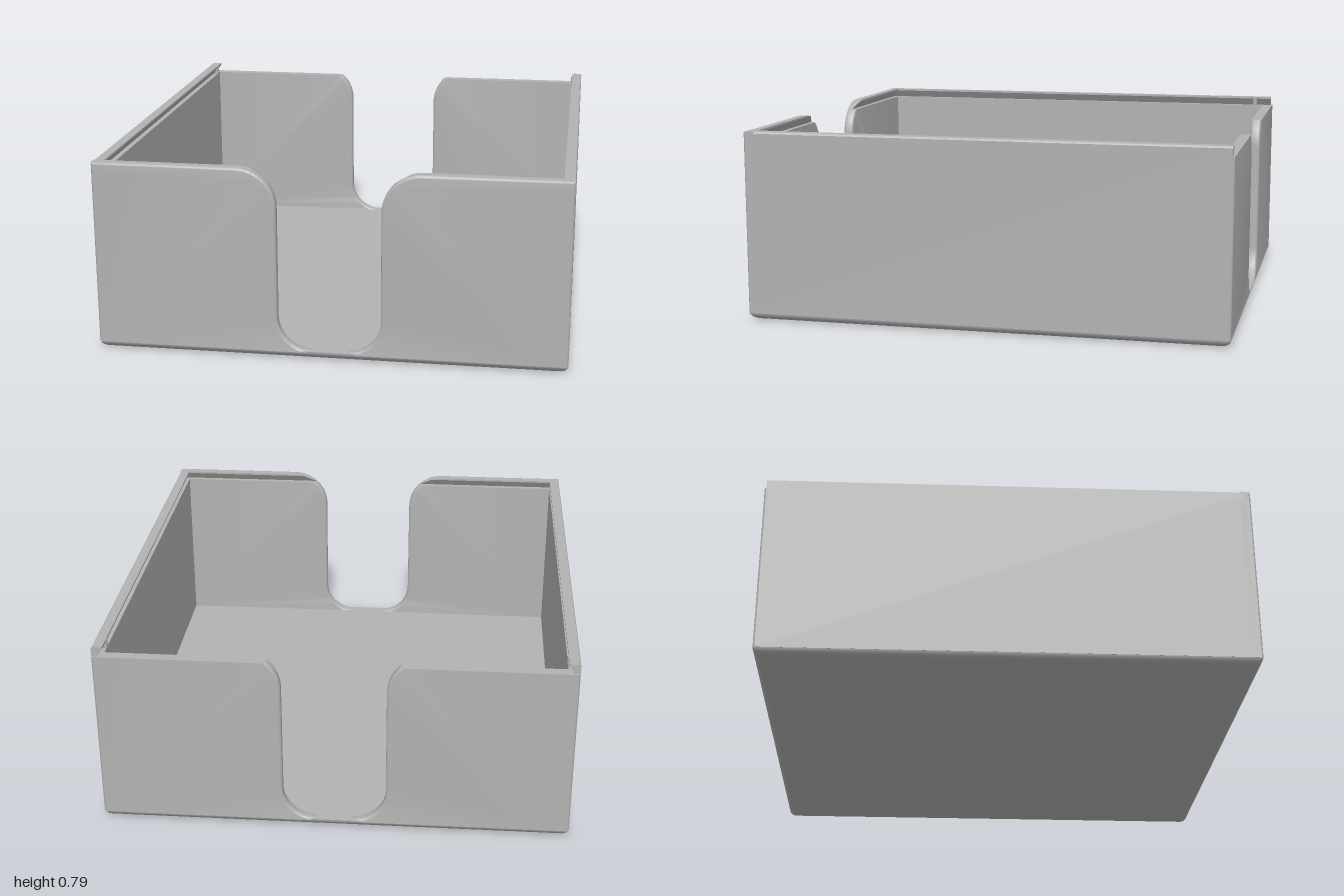
import * as THREE from 'three';
import { toCreasedNormals } from 'three/addons/utils/BufferGeometryUtils.js';

const W = 0.955, D = 1, T = 0.045;             // half width, half depth, wall thickness
const FLOOR = 0.035, LEDGE = 0.75, TOP = 0.79; // heights
const NOTCH = 0.21, R_LOW = 0.14, R_TOP = 0.16; // thumb notch half width and radii
const ROUND = 0.011;                            // rounding of notch rims and corners

// Joins counter-clockwise loops of [x, y] stacked along z; sx and sz mirror the result.
function loft(levels, sx = 1, sz = 1) {
  const pos = [];
  const flip = sx * sz < 0;
  const tri = (a, b, c) => {
    for (const p of flip ? [a, c, b] : [a, b, c]) pos.push(p[0] * sx, p[1], p[2] * sz);
  };
  const loops = levels.map(({ z, pts }) => pts.map(([x, y]) => [x, y, z]));
  const n = loops[0].length;
  for (let k = 0; k < loops.length - 1; k++) {
    const A = loops[k], B = loops[k + 1];
    for (let i = 0; i < n; i++) {
      const j = (i + 1) % n;
      tri(A[i], A[j], B[j]);
      tri(A[i], B[j], B[i]);
    }
  }
  const cap = (loop, up) => {
    const contour = loop.map(p => new THREE.Vector2(p[0], p[1]));
    for (const [a, b, c] of THREE.ShapeUtils.triangulateShape(contour, [])) {
      if (up) tri(loop[a], loop[b], loop[c]);
      else tri(loop[c], loop[b], loop[a]);
    }
  };
  cap(loops[0], false);
  cap(loops[n ? loops.length - 1 : 0], true);
  const g = new THREE.BufferGeometry();
  g.setAttribute('position', new THREE.Float32BufferAttribute(pos, 3));
  return toCreasedNormals(g, 0.6);
}

// Outline of the wall beside the notch, between heights lo and hi, shrunk by d.
function wallOutline(d, lo, hi, outer) {
  const pts = [], N = 14;
  if (lo < 0.1) {
    for (let i = 0; i <= N; i++) {
      const a = -Math.PI / 2 + (i / N) * Math.PI / 2, r = R_LOW + d;
      pts.push([NOTCH - R_LOW + r * Math.cos(a),
        Math.max(0.03, FLOOR + R_LOW + r * Math.sin(a))]);
    }
  }
  const r = R_TOP - d, cy = TOP - R_TOP;
  const angle = y => Math.asin(THREE.MathUtils.clamp((y - cy) / r, 0, 1));
  const a0 = angle(lo), a1 = angle(hi);
  for (let i = 0; i <= N; i++) {
    const a = a0 + (a1 - a0) * i / N;
    pts.push([NOTCH + R_TOP - r * Math.cos(a), cy + r * Math.sin(a)]);
  }
  pts.push([W - outer, hi], [W - outer, lo]);
  return pts.reverse();
}

// Quarter-round steps: [distance from face, inset]
const arc = [0, 1, 2, 3, 4].map(i => {
  const a = (i / 4) * Math.PI / 2;
  return [ROUND * (1 - Math.sin(a)), ROUND * (1 - Math.cos(a))];
});

function notchedWall(sx, sz) {
  const inner = arc.slice().reverse().map(([t, d]) => (
    { z: D - T + t, pts: wallOutline(d, 0.03, LEDGE, 0) }));
  const outer = arc.map(([t, d]) => (
    { z: D - ROUND + (ROUND - t), pts: wallOutline(d, 0.03, LEDGE, d) }));
  return loft([...inner, ...outer], sx, sz);
}

// Undercut lip that holds a sliding lid
function frontLip(sx) {
  const levels = [
    { z: D - T, pts: wallOutline(0, 0.782, TOP, 0) },
    { z: D - T + 0.022, pts: wallOutline(0, LEDGE, TOP, 0) },
    ...arc.map(([t, d]) => ({ z: D - t, pts: wallOutline(d, LEDGE, TOP - d, d) })),
  ];
  return loft(levels, sx, 1);
}

// Side wall with a dovetail groove, open at the back
function sideWall(sx) {
  const i = W - T;
  const profile = [[i, 0.03], [W, 0.03], [W, TOP - 0.008], [W - 0.003, TOP - 0.002],
    [W - 0.008, TOP], [i, TOP], [i, 0.782], [i + 0.022, LEDGE], [i, LEDGE]];
  const shape = new THREE.Shape(profile.map(([x, y]) => new THREE.Vector2(x * sx, y)));
  const len = 2 * D - 0.016;
  return new THREE.ExtrudeGeometry(shape, { depth: len, bevelEnabled: false })
    .translate(0, 0, -len / 2);
}

// Floor slab with a rounded lower edge
function floorSlab() {
  const outline = inset => {
    const r = 0.012, pts = [];
    [[1, 1], [-1, 1], [-1, -1], [1, -1]].forEach(([cx, cy], q) => {
      for (let i = 0; i <= 4; i++) {
        const a = (q + i / 4) * Math.PI / 2;
        pts.push([cx * (W - inset - r) + r * Math.cos(a), cy * (D - inset - r) + r * Math.sin(a)]);
      }
    });
    return pts;
  };
  const levels = [];
  for (let i = 0; i <= 7; i++) {
    const a = (i / 7) * Math.PI / 2;
    levels.push({ z: FLOOR * (1 - Math.cos(a)), pts: outline(0.045 * (1 - Math.sin(a))) });
  }
  return loft(levels).rotateX(-Math.PI / 2);
}

export function createModel() {
  const model = new THREE.Group();
  model.name = 'cardTray';
  const grey = new THREE.MeshStandardMaterial({ color: 0xb2b2b2 });
  grey.name = 'grey';
  const add = (name, geometry) => {
    const mesh = new THREE.Mesh(geometry, grey);
    mesh.name = name;
    model.add(mesh);
    return mesh;
  };

  add('floor', floorSlab());
  for (const [sx, side] of [[1, 'Left'], [-1, 'Right']]) {
    add('sideWall' + side, sideWall(sx));
    add('frontWall' + side, notchedWall(sx, 1));
    add('backWall' + side, notchedWall(sx, -1));
    add('frontLip' + side, frontLip(sx));
    // Small catch for the lid near the open end of the groove
    add('lidCatch' + side, new THREE.CylinderGeometry(0.01, 0.01, 0.038, 16))
      .position.set(sx * (W - T + 0.005), 0.77, -0.915);
  }
  return model;
}
